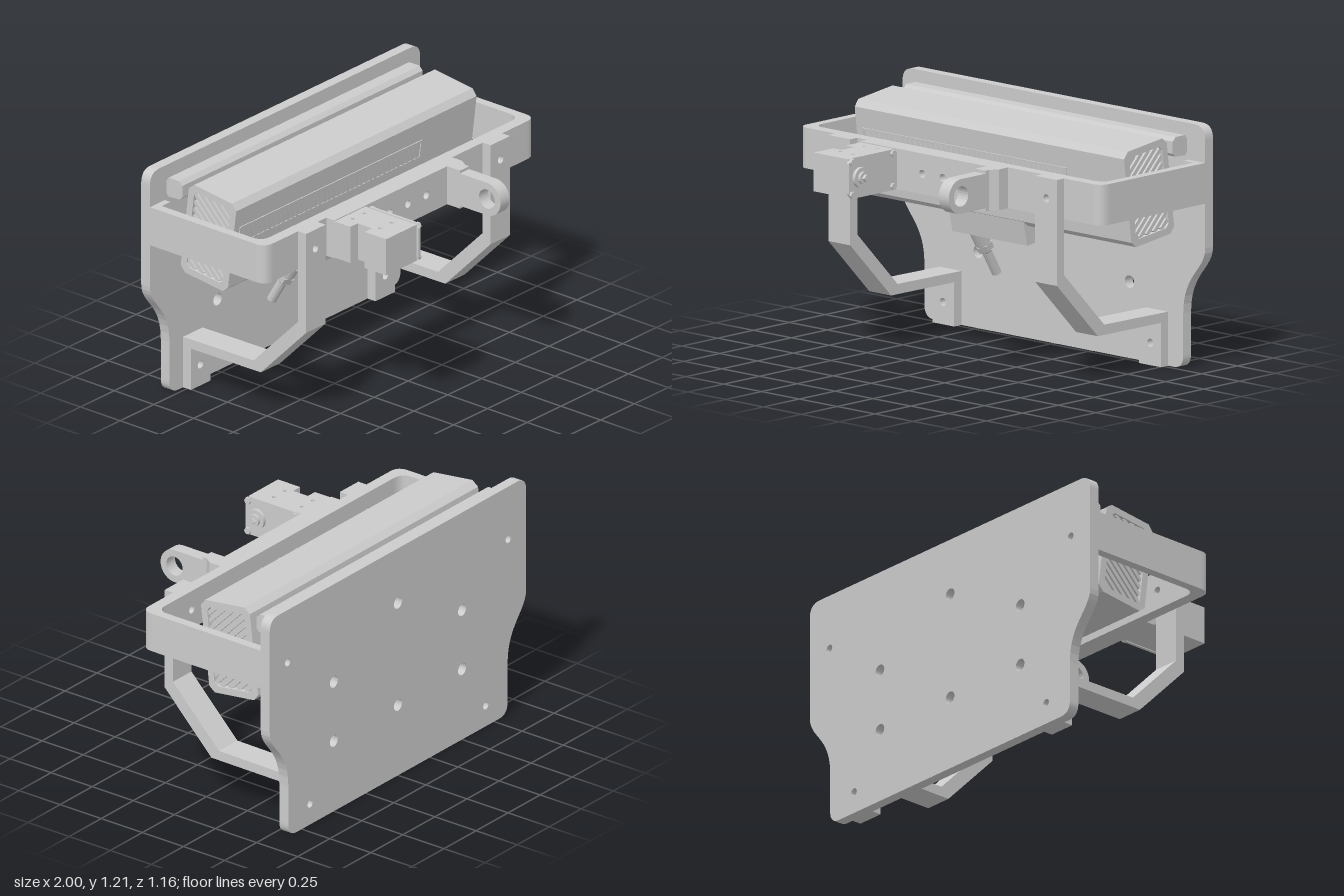
import * as THREE from 'three';

const mat = new THREE.MeshStandardMaterial({ color: 0xcccccc, flatShading: true });

function polygon(pts) {
  return new THREE.Shape(pts.map(([a, b]) => new THREE.Vector2(a, b)));
}

function punch(shape, holes) {
  for (const [a, b, r] of holes) {
    shape.holes.push(new THREE.Path().absarc(a, b, r, 0, Math.PI * 2, true));
  }
  return shape;
}

function rectShape(x0, x1, y0, y1, c = 0) {
  if (!c) return polygon([[x0, y0], [x1, y0], [x1, y1], [x0, y1]]);
  return polygon([[x0 + c, y0], [x1 - c, y0], [x1, y0 + c], [x1, y1 - c],
    [x1 - c, y1], [x0 + c, y1], [x0, y1 - c], [x0, y0 + c]]);
}

const extrude = (shape, depth) =>
  new THREE.ExtrudeGeometry(shape, { depth, bevelEnabled: false, curveSegments: 12 });

// Outline in (x, y), running from z0 to z1
const alongZ = (shape, z0, z1) => extrude(shape, z1 - z0).translate(0, 0, z0);
// Outline in (z, y), running from x0 to x1
const alongX = (shape, x0, x1) => extrude(shape, x1 - x0).rotateY(-Math.PI / 2).translate(x1, 0, 0);
// Outline in (x, z), running from y0 to y1
const alongY = (shape, y0, y1) => extrude(shape, y1 - y0).rotateX(Math.PI / 2).translate(0, y1, 0);

function box(x0, x1, y0, y1, z0, z1) {
  return new THREE.BoxGeometry(x1 - x0, y1 - y0, z1 - z0)
    .translate((x0 + x1) / 2, (y0 + y1) / 2, (z0 + z1) / 2);
}

function add(parent, name, geometry) {
  const mesh = new THREE.Mesh(geometry, mat);
  mesh.name = name;
  parent.add(mesh);
  return mesh;
}

function group(parent, name) {
  const g = new THREE.Group();
  g.name = name;
  parent.add(g);
  return g;
}

// Cylinder between two points
function rod(parent, name, a, b, r0, r1, sides) {
  const p = new THREE.Vector3(...a), q = new THREE.Vector3(...b);
  const mesh = add(parent, name, new THREE.CylinderGeometry(r1, r0, p.distanceTo(q), sides));
  mesh.position.copy(p).add(q).multiplyScalar(0.5);
  mesh.quaternion.setFromUnitVectors(new THREE.Vector3(0, 1, 0), q.sub(p).normalize());
}

function backPlate(parent) {
  const s = new THREE.Shape();
  s.moveTo(-0.79, 0);
  s.lineTo(0.79, 0);
  s.quadraticCurveTo(0.855, 0, 0.855, 0.065);
  s.lineTo(0.855, 0.27);
  s.bezierCurveTo(0.855, 0.47, 1, 0.5, 1, 0.61);
  s.lineTo(1, 1.14);
  s.quadraticCurveTo(1, 1.21, 0.93, 1.21);
  s.lineTo(-0.93, 1.21);
  s.quadraticCurveTo(-1, 1.21, -1, 1.14);
  s.lineTo(-1, 0.61);
  s.bezierCurveTo(-1, 0.5, -0.855, 0.47, -0.855, 0.27);
  s.lineTo(-0.855, 0.065);
  s.quadraticCurveTo(-0.855, 0, -0.79, 0);
  const holes = [[0, 0.375, 0.031], [0, 0.92, 0.031]];
  for (const m of [-1, 1]) {
    holes.push([m * 0.5, 0.375, 0.031], [m * 0.5, 0.69, 0.031],
      [m * 0.685, 0.11, 0.02], [m * 0.86, 0.93, 0.02]);
  }
  add(parent, 'backPlate', alongZ(punch(s, holes), -0.58, -0.525));
}

function guardFrame(parent) {
  const g = group(parent, 'guardFrame');
  const holes = [-0.685, -0.135, 0, 0.135, 0.685].map(x => [x, 0.93, 0.02]);
  add(g, 'frontWall', alongZ(punch(rectShape(-0.89, 0.89, 0.83, 1.03), holes), 0.14, 0.2));
  for (const m of [-1, 1]) {
    // Side wall with rounded front corner and rear flange
    const s = new THREE.Shape();
    s.moveTo(m * 0.89, 0.2);
    s.lineTo(m * 0.94, 0.2);
    s.quadraticCurveTo(m, 0.2, m, 0.14);
    s.lineTo(m, -0.525);
    s.lineTo(m * 0.89, -0.525);
    s.lineTo(m * 0.89, -0.49);
    s.lineTo(m * 0.953, -0.49);
    s.lineTo(m * 0.953, 0.08);
    s.quadraticCurveTo(m * 0.953, 0.14, m * 0.89, 0.14);
    add(g, 'sideWall', alongY(s, 0.83, 1.03));
  }
}

function supportStrut(parent, m) {
  const g = group(parent, 'supportStrut');
  const x0 = m * 0.683 - 0.072, x1 = m * 0.683 + 0.072;
  add(g, 'upperStrap', alongZ(punch(rectShape(x0, x1, 0.555, 1.03), [[m * 0.685, 0.93, 0.02]]), 0.2, 0.25));
  add(g, 'bentStrap', alongX(polygon([[0.25, 0.555], [0.25, 0.51], [-0.035, 0.22], [-0.525, 0.217],
    [-0.525, 0.265], [-0.08, 0.27], [0.2, 0.555]]), x0, x1));
  add(g, 'foot', alongZ(punch(rectShape(x0, x1, 0, 0.217), [[m * 0.685, 0.11, 0.02]]), -0.525, -0.475));
}

function frontMount(parent) {
  const g = group(parent, 'frontMount');
  const holes = [-0.135, 0, 0.135].map(x => [x, 0.93, 0.02]);
  add(g, 'mountBar', alongZ(punch(rectShape(-0.545, 0.385, 0.83, 1.03), holes), 0.2, 0.25));
  // Arm root with chamfered side
  add(g, 'armRoot', alongY(polygon([[0.29, 0.25], [0.385, 0.25], [0.385, 0.265], [0.358, 0.305],
    [0.358, 0.33], [0.29, 0.33]]), 0.83, 1.03));
  const arm = new THREE.Shape();
  arm.moveTo(0.32, 0.845);
  arm.lineTo(0.5, 0.845);
  arm.absarc(0.5, 0.93, 0.085, -Math.PI / 2, Math.PI / 2, false);
  arm.lineTo(0.32, 1.015);
  add(g, 'bearingArm', alongX(punch(arm, [[0.5, 0.93, 0.05]]), 0.29, 0.358));
}

function motor(parent) {
  const g = group(parent, 'motor');
  // Housing outline from above, with the notch in its outer side
  const outline = polygon([[-0.545, 0.25], [-0.315, 0.25], [-0.315, 0.575], [-0.545, 0.575],
    [-0.545, 0.44], [-0.49, 0.44], [-0.49, 0.35], [-0.545, 0.35]]);
  const holes = [];
  for (const x of [-0.465, -0.38]) for (const z of [0.3, 0.47]) holes.push([x, z, 0.01]);
  add(g, 'housing', alongY(outline, 0.835, 1.01));
  add(g, 'housingTop', alongY(punch(polygon(outline.getPoints().map(p => [p.x, p.y])), holes), 1.01, 1.025));
  add(g, 'endCap', alongX(rectShape(0.25, 0.585, 0.83, 1.03, 0.025), -0.318, -0.303));
  for (const y of [0.85, 1.01]) {
    for (const z of [0.28, 0.565]) rod(g, 'screw', [-0.305, y, z], [-0.29, y, z], 0.018, 0.018, 6);
  }
  rod(g, 'shaftFlange', [-0.305, 0.93, 0.51], [-0.285, 0.93, 0.51], 0.05, 0.05, 24);
  rod(g, 'shaft', [-0.285, 0.93, 0.51], [-0.27, 0.93, 0.51], 0.03, 0.03, 16);
  rod(g, 'shaftTip', [-0.27, 0.93, 0.51], [-0.255, 0.93, 0.51], 0.018, 0.018, 4);
}

function tiltedHousing(parent) {
  const g = group(parent, 'tiltedHousing');
  g.position.set(0, 0.91, -0.25);
  g.rotation.x = THREE.MathUtils.degToRad(7);
  const W = 0.115, V = 0.205;
  add(g, 'housingBody', alongX(rectShape(-0.15, 0.15, -0.24, 0.24, 0.03), -0.865, 0.865));
  for (const m of [-1, 1]) {
    // End rim around a recessed grille
    const rim = rectShape(-0.15, 0.15, -0.24, 0.24, 0.03);
    rim.holes.push(new THREE.Path(rectShape(-W, W, -V, V, 0.02).getPoints().reverse()));
    add(g, 'endRim', alongX(rim, Math.min(m * 0.865, m * 0.89), Math.max(m * 0.865, m * 0.89)));
    const k = 0.8;
    for (let c = -0.26; c < 0.28; c += 0.04) {
      const u0 = Math.max(-W, (c - V) / k), u1 = Math.min(W, (c + V) / k);
      if (u1 - u0 < 0.02) continue;
      const slat = add(g, 'endSlat', new THREE.BoxGeometry(0.018, 0.02, (u1 - u0) * Math.hypot(1, k)));
      slat.position.set(m * 0.874, c - k * (u0 + u1) / 2, (u0 + u1) / 2);
      slat.rotation.x = Math.atan(k);
    }
  }
  // Long slatted vent on the front face
  const vent = rectShape(-0.85, 0.5, 0.01, 0.11);
  vent.holes.push(new THREE.Path(rectShape(-0.84, 0.49, 0.02, 0.1).getPoints().reverse()));
  add(g, 'frontVentRim', alongZ(vent, 0.148, 0.155));
  for (let i = 0; i < 38; i++) {
    const x = -0.83 + i * 0.034;
    add(g, 'frontVentSlat', alongZ(polygon([[x + 0.035, 0.02], [x + 0.05, 0.02], [x + 0.015, 0.1], [x, 0.1]]),
      0.148, 0.154));
  }
}

function rearParts(parent) {
  const g = group(parent, 'rearAssembly');
  // Block wrapped below and behind the housing
  add(g, 'junctionBox', alongX(polygon([[-0.13, 0.68], [-0.155, 0.56], [-0.465, 0.597], [-0.478, 0.61],
    [-0.44, 0.87], [-0.4, 0.87], [-0.4, 0.72]]), -0.32, 0.175));
  add(g, 'wallBracket', alongZ(polygon([[-0.37, 0.572], [0.37, 0.572], [0.4, 0.6], [0.4, 1.05],
    [-0.4, 1.05], [-0.4, 0.6]]), -0.525, -0.485));
  add(g, 'bracketShelf', box(-0.4, 0.4, 1.03, 1.055, -0.525, -0.37));
  // Chamfered rail above the bracket and its connectors
  add(g, 'topRail', alongX(polygon([[-0.43, 1.06], [-0.5, 1.055], [-0.515, 1.07], [-0.515, 1.135],
    [-0.5, 1.155], [-0.435, 1.155], [-0.415, 1.135], [-0.415, 1.075]]), -0.89, 0.89));
  for (const x of [-0.7, 0, 0.7]) {
    add(g, 'railConnector', box(x - 0.12, x + 0.12, 1.065, 1.105, -0.42, -0.37));
    add(g, 'railStandoff', box(x - 0.12, x + 0.12, 1.075, 1.11, -0.53, -0.51));
  }
}

function cableGland(parent) {
  const g = group(parent, 'cableGland');
  const at = t => [-0.253, 0.59 - 0.26 * t, -0.238 - 0.155 * t];
  rod(g, 'glandBody', at(0), at(0.38), 0.04, 0.04, 16);
  rod(g, 'glandNut', at(0.38), at(0.5), 0.046, 0.044, 6);
  rod(g, 'glandCollar', at(0.5), at(0.55), 0.04, 0.026, 12);
  rod(g, 'cable', at(0.5), at(1), 0.024, 0.024, 12);
}

export function createModel() {
  const model = new THREE.Group();
  model.name = 'wallMountedUnit';
  backPlate(model);
  guardFrame(model);
  for (const m of [-1, 1]) supportStrut(model, m);
  frontMount(model);
  motor(model);
  tiltedHousing(model);
  rearParts(model);
  cableGland(model);
  return model;
}
